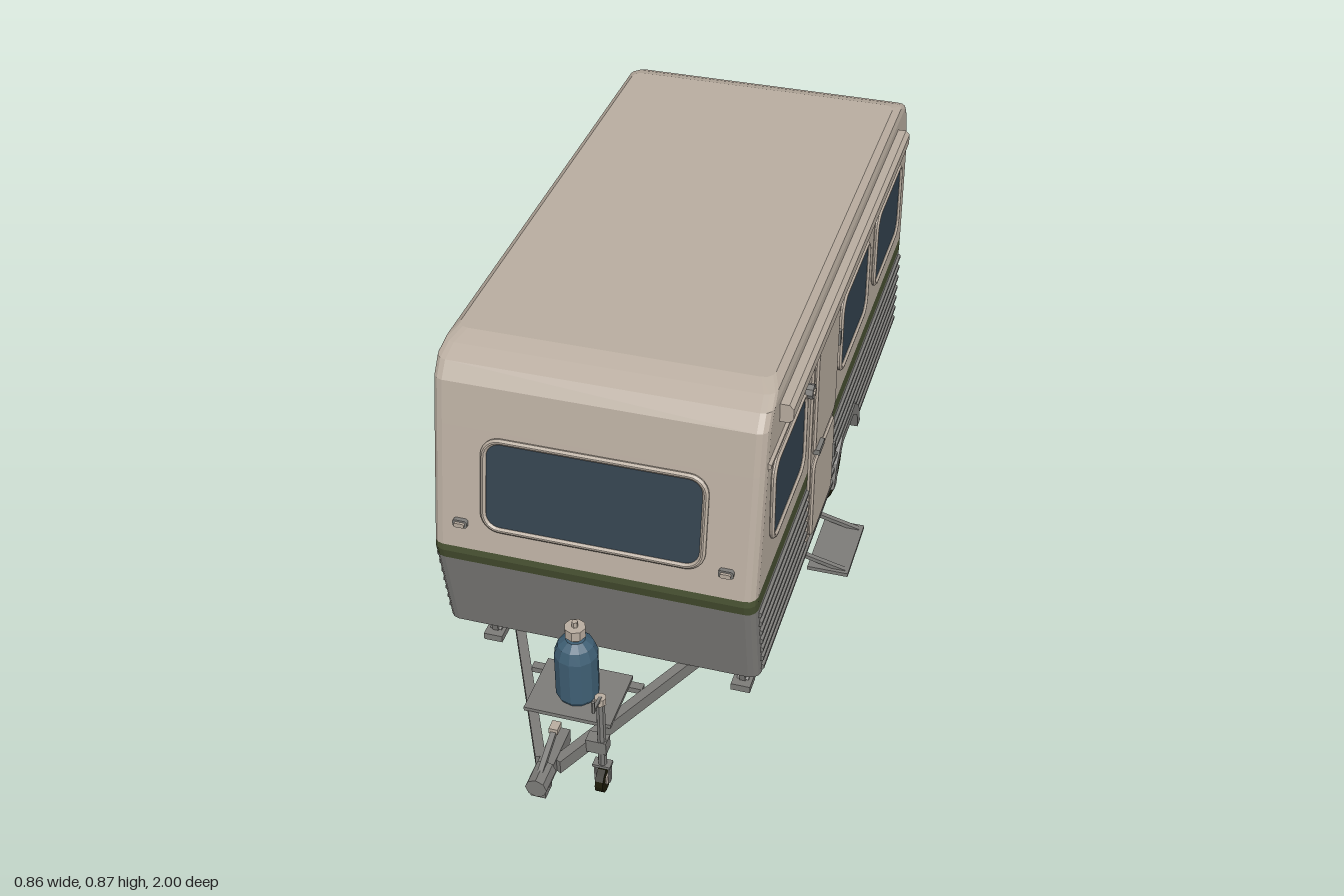
import * as THREE from 'three';

const mat = (name, color) => Object.assign(new THREE.MeshStandardMaterial({ color }), { name });
const V = (x, y, z) => new THREE.Vector3(x, y, z);

export function createModel() {
  const beige = mat('beige paint', 0xb9ada0), grey = mat('grey metal', 0x7d7c79),
    green = mat('green stripe', 0x475031), glass = mat('dark glass', 0x33424e),
    rubber = mat('rubber', 0x1c1b08), blue = mat('blue bottle', 0x3f5f74);
  const model = new THREE.Group();
  const van = new THREE.Group();
  van.name = 'caravan';
  van.position.x = -0.05; // body sits off centre because the step sticks out
  model.add(van);

  // Adds a faceted mesh
  const add = (name, geo, m, pos = [0, 0, 0], parent = van) => {
    const g = geo.index ? geo.toNonIndexed() : geo;
    g.computeVertexNormals();
    const mesh = new THREE.Mesh(g, m);
    mesh.name = name;
    mesh.position.set(...pos);
    parent.add(mesh);
    return mesh;
  };
  const box = (name, m, w, h, d, x, y, z) => add(name, new THREE.BoxGeometry(w, h, d), m, [x, y, z]);
  const beam = (name, m, a, b, w, h) => {
    const mesh = add(name, new THREE.BoxGeometry(w, h, a.distanceTo(b)), m);
    mesh.position.copy(a).lerp(b, 0.5);
    mesh.lookAt(b.clone().add(van.position));
  };
  const rod = (name, m, r, len, axis, pos, sides = 10) => {
    const g = new THREE.CylinderGeometry(r, r, len, sides);
    if (axis === 'x') g.rotateZ(-Math.PI / 2);
    if (axis === 'z') g.rotateX(Math.PI / 2);
    return add(name, g, m, pos);
  };
  const shapeOf = pts => new THREE.Shape(pts.map(p => new THREE.Vector2(...p)));
  const extrude = (shape, depth, bevel = 0) => new THREE.ExtrudeGeometry(shape, {
    depth, curveSegments: 3, bevelEnabled: bevel > 0, bevelSize: bevel, bevelThickness: bevel, bevelSegments: 1 });
  // Plate in the z-y plane, reaching inwards from the outer x on side s
  const sidePlate = (name, pts, m, s, outer, depth) =>
    add(name, extrude(shapeOf(pts), depth).rotateY(-Math.PI / 2), m, [s > 0 ? outer : -outer + depth, 0, 0]);
  const roundRect = (w, h, r, P = THREE.Shape) => {
    const p = new P(), x = w / 2 - r, y = h / 2 - r, q = Math.PI / 2;
    p.absarc(x, y, r, 0, q);
    p.absarc(-x, y, r, q, 2 * q);
    p.absarc(-x, -y, r, 2 * q, 3 * q);
    p.absarc(x, -y, r, 3 * q, 4 * q);
    p.closePath();
    return p;
  };

  // Body shell: rounded rings [y, front z, back z, half width]
  const R = 0.025, HW = 0.37;
  const ringOf = ([y, zf, zb, w]) => {
    const pts = [];
    [[1, zf - R], [-1, zf - R], [-1, zb + R], [1, zb + R]].forEach(([s, z], k) => {
      for (let i = 0; i <= 3; i++) {
        const a = (k + i / 3) * Math.PI / 2;
        pts.push(V(s * (w - R) + R * Math.cos(a), y, z + R * Math.sin(a)));
      }
    });
    return pts;
  };
  const loft = (name, m, rows, { openSides = false, cap = false } = {}) => {
    const rings = rows.map(ringOf), tris = [];
    for (let i = 0; i < rings.length - 1; i++) for (let j = 0; j < 16; j++) {
      if (openSides && j % 8 === 7) continue;
      const k = (j + 1) % 16, [p, q] = [rings[i], rings[i + 1]];
      tris.push(p[j], q[k], p[k], p[j], q[j], q[k]);
    }
    const top = rings[rings.length - 1];
    if (cap) top.forEach((p, j) => tris.push(V(0, p.y, -0.2), top[(j + 1) % 16], p));
    add(name, new THREE.BufferGeometry().setFromPoints(tris), m);
  };
  loft('lowerBody', grey, [[0.14, 0.565, -0.95, HW], [0.365, 0.61, -0.982, HW]], { openSides: true });
  loft('greenStripe', green, [[0.365, 0.61, -0.982, HW], [0.39, 0.616, -0.985, HW], [0.405, 0.613, -0.985, HW]]);
  loft('upperBody', beige, [[0.405, 0.613, -0.985, HW], [0.7, 0.56, -0.98, HW], [0.8, 0.541, -0.945, HW],
    [0.835, 0.515, -0.915, HW], [0.852, 0.472, -0.875, 0.366], [0.865, 0.43, -0.835, 0.35]], { cap: true });

  // Lower sides with wheel arches, ribs and wheels
  const WZ = -0.295;
  const mirrorArch = half => [...half.map(([z, y]) => [WZ + z, y]), ...half.slice().reverse().map(([z, y]) => [WZ - z, y])];
  const notch = mirrorArch([[0.125, 0.14], [0.11, 0.19], [0.06, 0.225]]);
  const archOuter = mirrorArch([[0.155, 0.14], [0.13, 0.205], [0.075, 0.25]]);
  const archBand = [...archOuter, ...notch.slice().reverse()];
  const frontAt = y => 0.565 + (y - 0.14) * 0.2 - R;
  const backAt = y => -0.95 - (y - 0.14) * 0.142 + R;
  for (const s of [1, -1]) {
    sidePlate('lowerSide', [[frontAt(0.365), 0.365], [frontAt(0.14), 0.14], ...notch, [backAt(0.14), 0.14], [backAt(0.365), 0.365]],
      grey, s, HW, 0.01);
    sidePlate('wheelArchTrim', archBand, grey, s, 0.381, 0.012);
    sidePlate('wheelArchLining', archBand, grey, s, 0.365, 0.105);
    box('wheelArchWall', grey, 0.01, 0.12, 0.3, s * 0.262, 0.195, WZ);

    for (let i = 0; i < 7; i++) {
      const y = 0.16 + i * 0.031;
      const reach = y > 0.25 ? 0 : y > 0.205 ? 0.13 - (y - 0.205) * 1.2 : 0.155 - (y - 0.14) * 0.38;
      const cuts = [frontAt(y), ...(s > 0 && y > 0.185 ? [0.14, -0.1] : []), ...(reach ? [WZ + reach, WZ - reach] : []), backAt(y)];
      for (let c = 0; c < cuts.length; c += 2)
        rod('sideRib', grey, 0.0085, cuts[c] - cuts[c + 1], 'z', [s * (HW - 0.001), y, (cuts[c] + cuts[c + 1]) / 2], 6);
    }

    // Wheels
    const wheelPart = (name, m, r, len, sides, dy = 0, dz = 0) => rod(name, m, r, len, 'x', [s * 0.316, 0.106 + dy, WZ + dz], sides);
    const tyre = [[0.06, -0.03], [0.09, -0.034], [0.101, -0.026], [0.105, -0.012], [0.105, 0.012], [0.101, 0.026], [0.09, 0.034], [0.06, 0.03], [0.06, -0.03]];
    const tg = new THREE.LatheGeometry(tyre.map(p => new THREE.Vector2(...p)), 20);
    add('tyre', tg.rotateZ(Math.PI / 2), rubber, [s * 0.316, 0.106, WZ]);
    wheelPart('wheelRim', beige, 0.068, 0.064, 16);
    wheelPart('hubRing', grey, 0.026, 0.07, 10);
    wheelPart('hubCap', beige, 0.015, 0.076, 10);
    for (let i = 0; i < 10; i++) {
      const a = i * Math.PI / 5;
      wheelPart('wheelSlot', rubber, 0.005, 0.066, 6, 0.056 * Math.sin(a), 0.056 * Math.cos(a));
    }
  }
  const floor = shapeOf([[-0.36, -0.94], [0.36, -0.94], [0.36, 0.555], [-0.36, 0.555]]);
  for (const s of [1, -1]) floor.holes.push(new THREE.Path([[0.262, WZ - 0.12], [0.355, WZ - 0.12], [0.355, WZ + 0.12], [0.262, WZ + 0.12]].map(([x, z]) => new THREE.Vector2(s * x, z))));
  add('floor', extrude(floor, 0.006).rotateX(Math.PI / 2), grey, [0, 0.146, 0]);

  // Windows: bevelled frame ring with a glass plate inside
  const addWindow = (name, w, h, pos, ry, rx = 0) => {
    const g = new THREE.Group();
    g.name = name;
    g.position.set(...pos);
    g.rotation.set(rx, ry, 0);
    van.add(g);
    const frame = roundRect(w - 0.01, h - 0.01, 0.04);
    frame.holes.push(roundRect(w - 0.017, h - 0.017, 0.037, THREE.Path));
    add('windowFrame', extrude(frame, 0.004, 0.005), beige, [0, 0, 0.004], g);
    add('windowGlass', extrude(roundRect(w - 0.019, h - 0.019, 0.036), 0.006), glass, [0, 0, 0.001], g);
  };
  for (const [z, w] of [[0.36, 0.3], [-0.303, 0.315], [-0.702, 0.32]]) {
    addWindow('rightWindow', w, 0.22, [HW - 0.002, 0.592, z], Math.PI / 2);
    addWindow('leftWindow', w, 0.22, [-HW + 0.002, 0.592, z], -Math.PI / 2);
  }
  addWindow('leftWindow', 0.26, 0.22, [-HW + 0.002, 0.592, 0.03], -Math.PI / 2);
  addWindow('frontWindow', 0.51, 0.23, [0, 0.575, 0.581], 0, -0.178);
  addWindow('rearWindow', 0.51, 0.22, [0, 0.58, -0.98], Math.PI);

  // Door
  box('doorFrame', beige, 0.012, 0.55, 0.235, 0.37, 0.465, 0.02);
  for (const [y, h] of [[0.588, 0.294], [0.309, 0.226]])
    add('doorPanel', extrude(roundRect(0.206, h - 0.01, 0.02), 0.004, 0.005).rotateY(Math.PI / 2), beige, [0.375, y, 0.02]);
  box('doorHandle', grey, 0.016, 0.014, 0.05, 0.386, 0.456, 0.1);
  for (const y of [0.63, 0.3]) box('doorHinge', grey, 0.02, 0.04, 0.012, 0.376, y, -0.101);
  rod('porchLamp', grey, 0.018, 0.02, 'x', [0.377, 0.67, 0.185], 8);
  rod('porchLampLens', beige, 0.009, 0.026, 'x', [0.378, 0.67, 0.185], 8);

  // Awning case and drip rails
  const awning = [[0.365, 0.77], [0.39, 0.77], [0.4, 0.78], [0.4, 0.805], [0.39, 0.815], [0.365, 0.815]];
  add('awningCase', extrude(shapeOf(awning), 1.25), beige, [0, 0, -0.805]);
  rod('dripRail', beige, 0.008, 0.4, 'z', [0.37, 0.717, 0.335], 6);
  rod('dripRail', beige, 0.008, 0.84, 'z', [0.37, 0.717, -0.53], 6);

  // Front grab handles
  for (const s of [1, -1]) {
    add('grabHandleBase', extrude(roundRect(0.034, 0.02, 0.007), 0.012), grey, [s * 0.302, 0.468, 0.598]);
    add('grabHandle', extrude(roundRect(0.024, 0.011, 0.004), 0.018), beige, [s * 0.302, 0.468, 0.598]);
  }

  // Rear light panel, lamps and blank plate
  box('rearPanel', grey, 0.66, 0.085, 0.02, 0, 0.296, -0.972);
  box('rearPlate', beige, 0.16, 0.034, 0.02, 0, 0.285, -0.98);
  for (const s of [1, -1]) {
    box('rearLampHousing', grey, 0.09, 0.038, 0.02, s * 0.285, 0.288, -0.98);
    for (const dx of [-0.022, 0.022]) {
      rod('rearLampRing', grey, 0.015, 0.03, 'z', [s * 0.285 + dx, 0.288, -0.984]);
      rod('rearLamp', rubber, 0.009, 0.03, 'z', [s * 0.285 + dx, 0.288, -0.985], 8);
    }
  }

  // Chassis rails, drawbar, axle and corner legs
  for (const s of [1, -1]) {
    beam('chassisRail', grey, V(s * 0.235, 0.123, -0.92), V(s * 0.235, 0.123, 0.495), 0.024, 0.034);
    beam('drawbar', grey, V(s * 0.235, 0.123, 0.48), V(s * 0.018, 0.123, 0.92), 0.022, 0.034);
    for (const [z, top] of [[0.45, 0.3], [-0.815, -0.7]]) {
      box('legFoot', grey, 0.046, 0.018, 0.05, s * 0.305, 0.009, z);
      beam('legBrace', grey, V(s * 0.305, 0.015, z), V(s * 0.305, 0.14, top), 0.028, 0.014);
      beam('legStrut', grey, V(s * 0.305, 0.015, z), V(s * 0.305, 0.14, z + Math.sign(z) * 0.028), 0.014, 0.012);
      box('legMount', grey, 0.1, 0.014, 0.03, s * 0.275, 0.134, top);
    }
  }
  rod('axle', grey, 0.014, 0.68, 'x', [0, 0.106, WZ], 8);
  box('crossMember', grey, 0.47, 0.026, 0.024, 0, 0.127, 0.48);
  box('towPlatform', grey, 0.2, 0.01, 0.16, 0, 0.143, 0.72);
  box('platformBar', grey, 0.26, 0.014, 0.02, 0, 0.133, 0.66);

  // Entry step
  box('step', grey, 0.1, 0.01, 0.19, 0.425, 0.094, 0.02);
  for (const z of [-0.06, 0.1]) beam('stepArm', grey, V(0.29, 0.14, z), V(0.465, 0.096, z), 0.012, 0.01);

  // Gas bottle
  const bottle = [[0, 0.148], [0.042, 0.148], [0.049, 0.16], [0.049, 0.272], [0.04, 0.298], [0.022, 0.312], [0, 0.312]];
  add('gasBottle', new THREE.LatheGeometry(bottle.map(p => new THREE.Vector2(...p)), 12), blue, [0, 0, 0.725]);
  rod('bottleNeck', beige, 0.014, 0.02, 'y', [0, 0.318, 0.725], 8);
  rod('bottleCollar', beige, 0.024, 0.024, 'y', [0, 0.334, 0.725], 8);
  rod('bottleValve', beige, 0.007, 0.02, 'y', [0, 0.35, 0.725], 6);

  // Hitch and brake lever
  box('hitchShaft', grey, 0.036, 0.036, 0.14, 0, 0.124, 0.9);
  rod('hitchHead', grey, 0.024, 0.06, 'z', [0, 0.128, 0.97], 8);
  box('hitchSocket', grey, 0.034, 0.03, 0.04, 0, 0.108, 0.97);
  beam('brakeLever', grey, V(0, 0.145, 0.97), V(0, 0.178, 0.88), 0.012, 0.012);
  box('leverGrip', beige, 0.02, 0.014, 0.026, 0, 0.184, 0.872);

  // Jockey wheel
  rod('jockeyTube', grey, 0.01, 0.19, 'y', [0.095, 0.172, 0.845], 8);
  rod('jockeyCollar', beige, 0.013, 0.018, 'y', [0.095, 0.266, 0.845], 8);
  rod('crankPost', grey, 0.004, 0.03, 'y', [0.095, 0.288, 0.89], 6);
  beam('crankArm', grey, V(0.095, 0.273, 0.845), V(0.095, 0.278, 0.892), 0.007, 0.007);
  box('jockeyClamp', grey, 0.046, 0.034, 0.03, 0.084, 0.13, 0.84);
  beam('clampArm', grey, V(0.08, 0.123, 0.84), V(0.045, 0.123, 0.84), 0.016, 0.02);
  box('jockeyFork', grey, 0.04, 0.007, 0.024, 0.095, 0.075, 0.845);
  for (const s of [1, -1]) box('jockeyForkArm', grey, 0.004, 0.05, 0.014, 0.095 + s * 0.016, 0.052, 0.845);
  rod('jockeyTyre', rubber, 0.032, 0.018, 'x', [0.095, 0.032, 0.845], 14);
  rod('jockeyHub', beige, 0.014, 0.024, 'x', [0.095, 0.032, 0.845], 8);

  return model;
}
